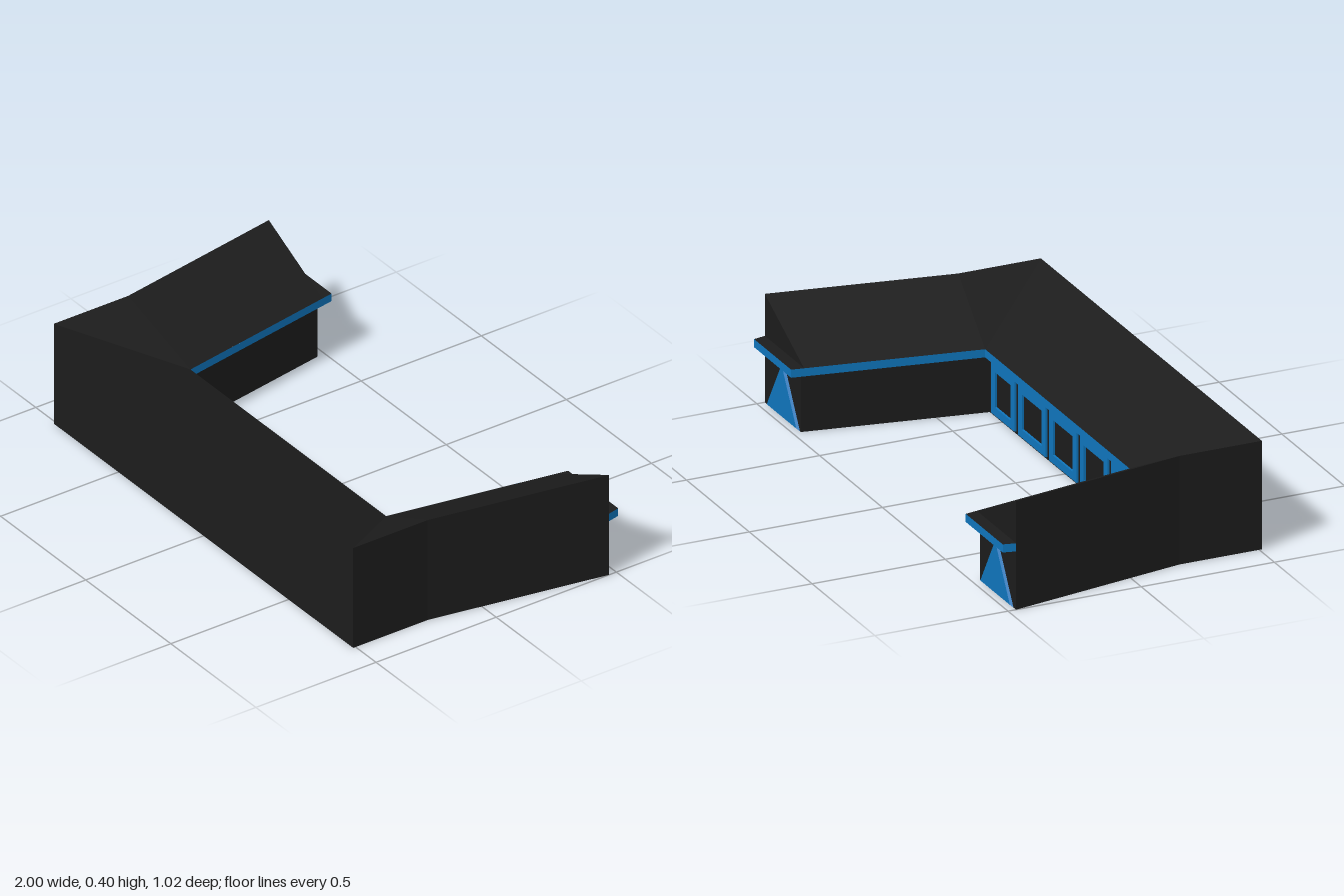
import * as THREE from 'three';

const black = new THREE.MeshStandardMaterial({ color: 0x1c1c1c, flatShading: true });
const blackSheet = new THREE.MeshStandardMaterial({ color: 0x1c1c1c, flatShading: true, side: THREE.DoubleSide });
const blue = new THREE.MeshStandardMaterial({ color: 0x0f75bc, flatShading: true });
const blueSheet = new THREE.MeshStandardMaterial({ color: 0x0f75bc, flatShading: true, side: THREE.DoubleSide });

// Heights
const TOP = 0.4, EAVE = 0.245, SOFFIT = 0.215;
// Plan of one wing as [x, z]
const END_Z = -0.47, WALL_Z = 0.185;
const eaveCorner = [0.575, 0.157], wallCorner = [0.597, WALL_Z];
const mirror = ([x, z]) => [-x, z];

function mesh(name, geometry, material) {
  const m = new THREE.Mesh(geometry, material);
  m.name = name;
  return m;
}

function flatGeometry(points, index) {
  const g = new THREE.BufferGeometry();
  g.setAttribute('position', new THREE.Float32BufferAttribute(points.flat(), 3));
  g.setIndex(index);
  const flat = g.toNonIndexed();
  flat.computeVertexNormals();
  return flat;
}

// U-shaped body: a sloped-roof section carried along the plan
function bodyGeometry() {
  const half = [ // outer wall, eave edge, inner wall
    [[1, END_Z], [0.687, END_Z], [0.713, END_Z]],
    [[0.88, 0.2], eaveCorner, wallCorner],
    [[0.88, 0.51], eaveCorner, wallCorner],
  ];
  const stations = [...half.map(s => s.map(mirror)), ...[...half].reverse()];
  const points = [], index = [];
  for (const [o, r, w] of stations) {
    for (const [p, y] of [[o, 0], [o, TOP], [r, EAVE], [r, SOFFIT], [w, SOFFIT], [w, 0]]) {
      points.push([p[0], y, p[1]]);
    }
  }
  for (let i = 0; i < stations.length - 1; i++) {
    for (let k = 0; k < 6; k++) {
      if (k === 2) continue; // the fascia closes this side
      const n = (k + 1) % 6;
      const a = i * 6 + k, b = a + 6, c = i * 6 + 6 + n, d = i * 6 + n;
      index.push(a, b, c, a, c, d);
    }
  }
  // Gable ends of the wings
  const last = (stations.length - 1) * 6;
  for (const [a, b] of [[5, 0], [0, 1], [1, 2], [2, 3]]) {
    index.push(4, a, b, last + 4, last + b, last + a);
  }
  return flatGeometry(points, index);
}

// Vertical band following a plan path
function bandGeometry(path) {
  const points = [], index = [];
  path.forEach(([x, z], i) => {
    points.push([x, SOFFIT, z], [x, EAVE, z]);
    if (i) index.push(2 * i - 2, 2 * i - 1, 2 * i + 1, 2 * i - 2, 2 * i + 1, 2 * i);
  });
  return flatGeometry(points, index);
}

function polygon(points) {
  return new THREE.Shape(points.map(p => new THREE.Vector2(...p)));
}

export function createModel() {
  const model = new THREE.Group();
  model.name = 'counter';
  model.add(mesh('body', bodyGeometry(), black));

  // Fascia along the inner eave and round the wing ends
  const path = [[1, END_Z], [0.99, -0.515], [0.695, -0.515], eaveCorner];
  model.add(mesh('fascia', bandGeometry([...path.map(mirror), ...[...path].reverse()]), blueSheet));

  for (const s of [1, -1]) {
    const side = s > 0 ? 'left' : 'right';

    // Ledge over the wing end
    const ledge = [[1, END_Z], [0.99, -0.515], [0.695, -0.515], [0.687, END_Z]];
    const corners = [EAVE, SOFFIT].flatMap(y => ledge.map(([x, z]) => [s * x, y, z]));
    model.add(mesh(side + 'Ledge', flatGeometry(corners, [0, 1, 2, 0, 2, 3, 4, 5, 6, 4, 6, 7]), blackSheet));

    // Bevelled triangle on the wing end
    const triangle = new THREE.ExtrudeGeometry(polygon([[-0.13, 0], [0.13, 0], [0, 0.212]]), {
      depth: 0.01, bevelThickness: 0.008, bevelSize: 0.01, bevelOffset: -0.01, bevelSegments: 1,
    });
    const panel = mesh(side + 'EndTriangle', triangle, blue);
    panel.position.set(s * 0.85, 0, END_Z);
    model.add(panel);
  }

  // Row of window frames on the inner wall: centre and width
  const border = 0.03, low = 0.01, high = 0.2;
  for (const [x, width] of [[-0.478, 0.185], [-0.246, 0.218], [0, 0.218], [0.246, 0.218], [0.478, 0.185]]) {
    const w = width / 2, i = w - border;
    const shape = polygon([[-w, low], [w, low], [w, high], [-w, high]]);
    shape.holes.push(polygon([[-i, low + border], [-i, high - border], [i, high - border], [i, low + border]]));
    const frame = mesh('windowFrame', new THREE.ExtrudeGeometry(shape, { depth: 0.02, bevelEnabled: false }), blue);
    frame.position.set(x, 0, WALL_Z - 0.008);
    model.add(frame);
  }
  return model;
}
